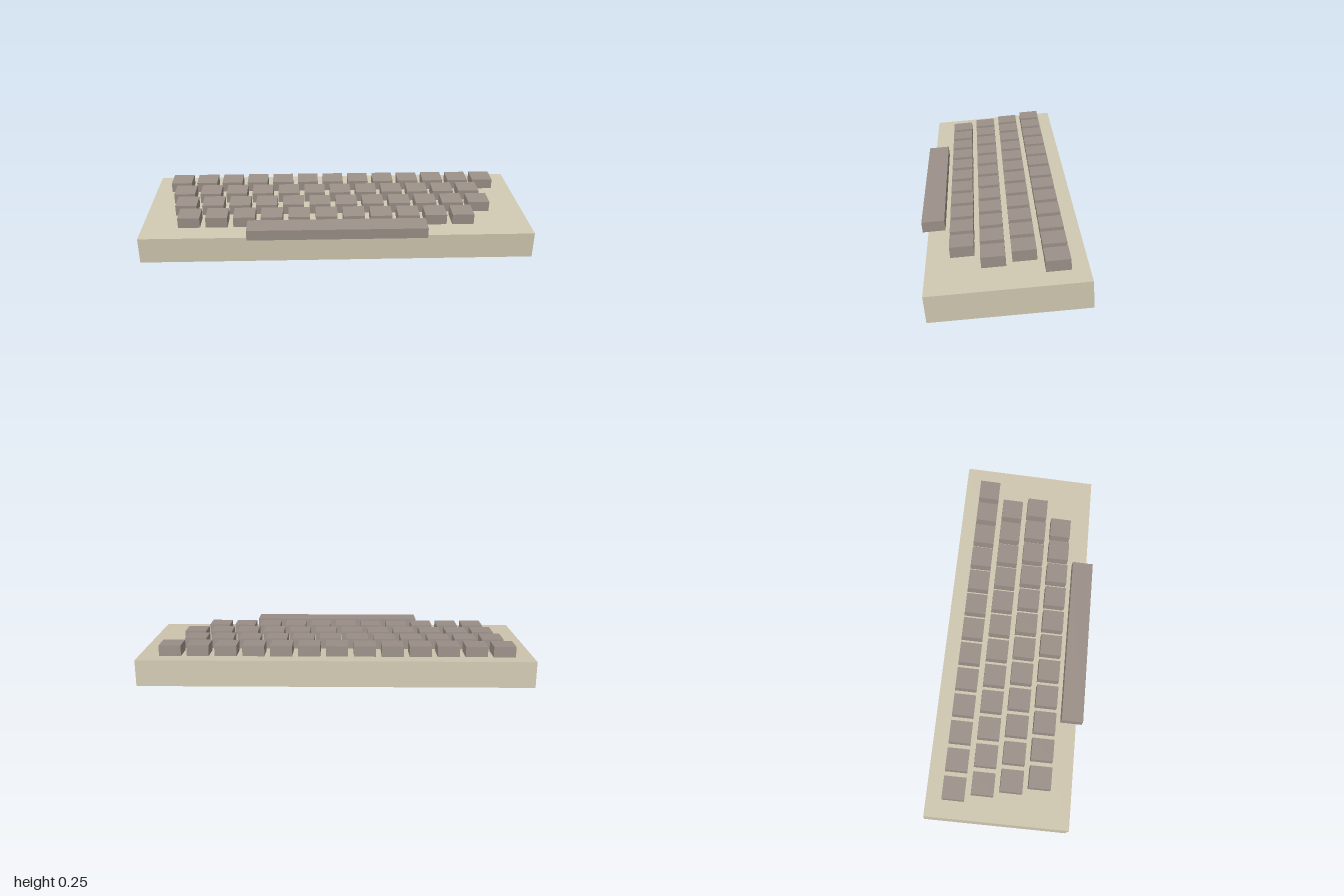
import * as THREE from 'three';

const caseMat = new THREE.MeshStandardMaterial({ name: 'beige case', color: 0xcfc7b0 });
const keyMat = new THREE.MeshStandardMaterial({ name: 'taupe keys', color: 0x9b9088 });

const TILT = THREE.MathUtils.degToRad(5);
const CASE = { w: 2, h: 0.135, d: 0.726 };
const KEY = { size: 0.112, h: 0.0545, pitch: 0.1413 };

function box(name, mat, w, h, d, x, y, z) {
  const mesh = new THREE.Mesh(new THREE.BoxGeometry(w, h, d), mat);
  mesh.name = name;
  mesh.position.set(x, y, z);
  return mesh;
}

export function createModel() {
  const model = new THREE.Group();
  model.name = 'keyboard';

  // Everything shares the tilt of the wedge-standing case
  const board = new THREE.Group();
  board.name = 'tiltedBoard';
  board.rotation.x = TILT;
  board.position.set(0, 0.099, -0.017);
  model.add(board);

  board.add(box('case', caseMat, CASE.w, CASE.h, CASE.d, 0, 0, 0));

  // Staggered key rows, back to front: centre of the first key and key count
  const keyY = CASE.h / 2 + KEY.h / 2;
  const backZ = -0.228, rowPitch = 0.141;
  const rows = [[-0.855, 13], [-0.819, 12], [-0.791, 12], [-0.759, 11]];
  rows.forEach(([startX, count], r) => {
    const row = new THREE.Group();
    row.name = `keyRow${r + 1}`;
    for (let i = 0; i < count; i++) {
      row.add(box('key', keyMat, KEY.size, KEY.h, KEY.size,
        startX + i * KEY.pitch, keyY, backZ + r * rowPitch));
    }
    board.add(row);
  });

  // Space bar overhangs the front edge
  board.add(box('spaceBar', keyMat, 0.907, KEY.h, KEY.size, -0.002, keyY, backZ + 4 * rowPitch));

  return model;
}
